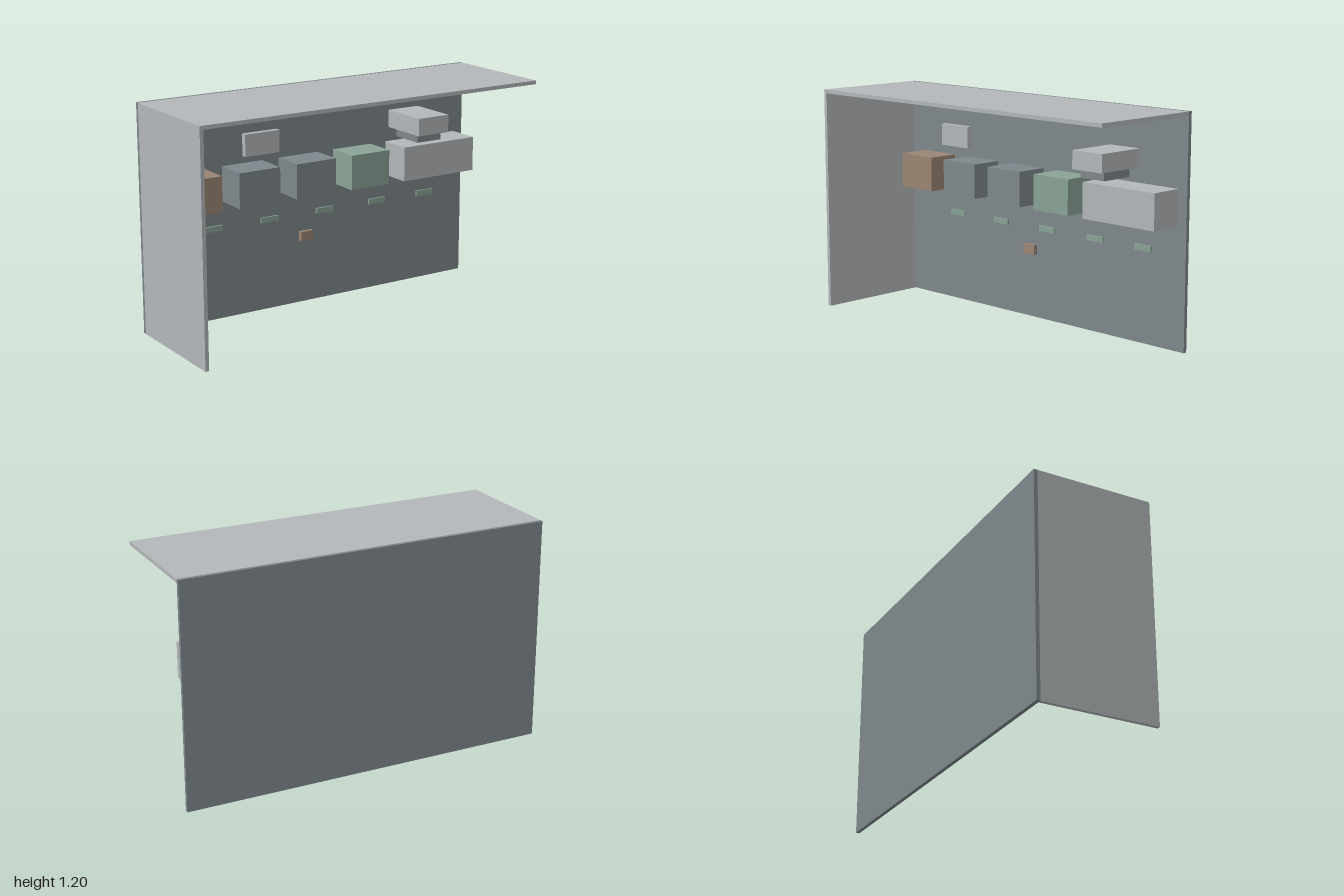
import * as THREE from 'three';

function material(name, color) {
  const m = new THREE.MeshStandardMaterial({ color });
  m.name = name;
  return m;
}

export function createModel() {
  const group = new THREE.Group();
  group.name = 'wallBooth';
  const light = material('light grey', 0xb3b7b9);
  const slate = material('slate grey', 0x7e878c);
  const brown = material('brown', 0x9a8574);
  const green = material('sage green', 0x8aa396);

  // Box given by its extents along each axis
  function box(name, mat, [x0, x1], [y0, y1], [z0, z1]) {
    const mesh = new THREE.Mesh(new THREE.BoxGeometry(x1 - x0, y1 - y0, z1 - z0), mat);
    mesh.position.set((x0 + x1) / 2, (y0 + y1) / 2, (z0 + z1) / 2);
    mesh.name = name;
    group.add(mesh);
  }

  // Shell: back panel, one side wall and the roof
  const wallZ = -0.305;
  box('backPanel', slate, [-1, 1], [0, 1.2], [-0.325, wallZ]);
  box('sideWall', light, [-1, -0.98], [0, 1.18], [wallZ, 0.325]);
  box('roof', light, [-1, 1], [1.18, 1.2], [wallZ, 0.325]);

  // Row of wall cabinets
  [
    ['brownCabinet', brown, -0.88, -0.64],
    ['slateCabinetOuter', slate, -0.54, -0.3],
    ['slateCabinetInner', slate, -0.2, 0.04],
    ['greenCabinet', green, 0.14, 0.38],
    ['wideCabinet', light, 0.48, 0.945],
  ].forEach(([name, mat, a, b]) => box(name, mat, [a, b], [0.63, 0.817], [wallZ, -0.125]));

  // Hanging sign plate and the projecting unit with its lower tray
  box('signPlate', light, [-0.52, -0.32], [0.905, 1.02], [-0.125, -0.095]);
  box('projectingUnit', light, [0.5, 0.695], [0.895, 0.99], [wallZ, -0.025]);
  box('unitTray', slate, [0.52, 0.675], [0.85, 0.895], [-0.255, -0.065]);

  // Label plates below the cabinets
  [-0.605, -0.265, 0.077, 0.417, 0.737].forEach((x, i) =>
    box('labelPlate' + (i + 1), green, [x - 0.054, x + 0.054], [0.48, 0.51], [-0.299, -0.289]));

  // Small switch box
  box('switchBox', brown, [-0.08, -0.004], [0.346, 0.398], [-0.302, -0.279]);

  return group;
}
